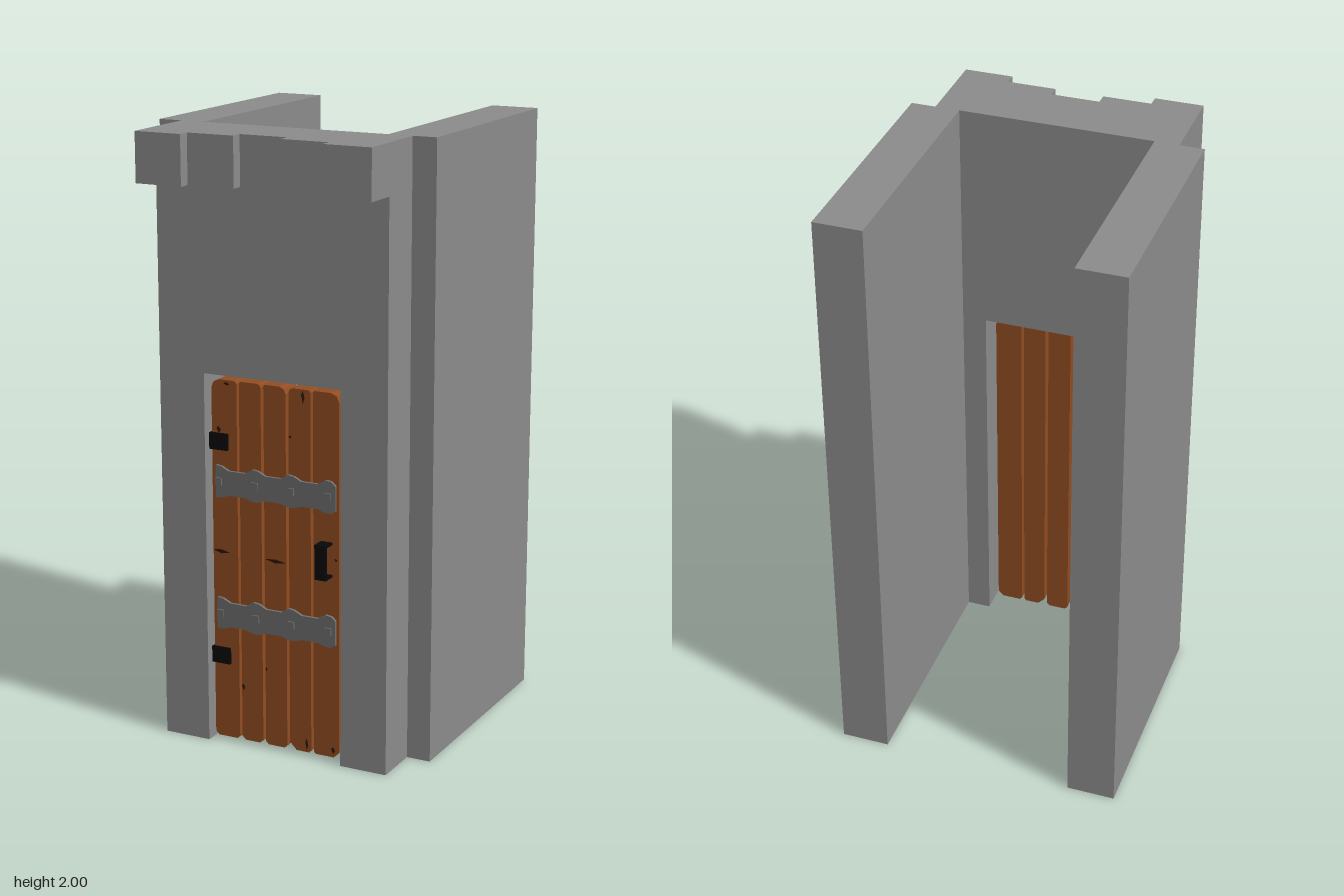
import * as THREE from 'three';

const mat = (color, extra = {}) => new THREE.MeshStandardMaterial({ color, ...extra });

export function createModel() {
  const root = new THREE.Group();
  const stone = mat(0x8c8c8c);
  const wood = mat(0x924d22);
  const iron = mat(0x6f6f6f);
  const black = mat(0x080808);
  const crackMat = mat(0x2e1508, { side: THREE.DoubleSide });

  const add = (parent, name, geometry, material) => {
    const mesh = new THREE.Mesh(geometry, material);
    mesh.name = name;
    parent.add(mesh);
    return mesh;
  };
  const box = (parent, name, material, x0, x1, y0, y1, z0, z1) => {
    const mesh = add(parent, name, new THREE.BoxGeometry(x1 - x0, y1 - y0, z1 - z0), material);
    mesh.position.set((x0 + x1) / 2, (y0 + y1) / 2, (z0 + z1) / 2);
  };
  const shapeOf = (pts) => new THREE.Shape(pts.map(([x, y]) => new THREE.Vector2(x, y)));
  const slab = (parent, name, material, pts, z0, z1) => {
    const geometry = new THREE.ExtrudeGeometry(shapeOf(pts), { depth: z1 - z0, bevelEnabled: false });
    geometry.translate(0, 0, z0);
    return add(parent, name, geometry, material);
  };

  // Long side walls
  box(root, 'leftWall', stone, 0.32, 0.48, 0, 2, -0.54, 0.26);
  box(root, 'rightWall', stone, -0.48, -0.32, 0, 2, -0.54, 0.26);

  // Front wall with its doorway
  slab(root, 'frontWall', stone, [
    [-0.4, 0], [-0.24, 0], [-0.24, 1.235], [0.24, 1.235],
    [0.24, 0], [0.4, 0], [0.4, 1.84], [-0.4, 1.84],
  ], 0.26, 0.42);

  // Stepped parapet, drawn in plan and laid flat
  const parapet = slab(root, 'parapet', stone, [
    [-0.4, -0.26], [-0.4, -0.54], [-0.24, -0.54], [-0.24, -0.5], [-0.08, -0.5], [-0.08, -0.46],
    [0.08, -0.46], [0.08, -0.5], [0.24, -0.5], [0.24, -0.54], [0.4, -0.54], [0.4, -0.26],
  ], 1.84, 2);
  parapet.rotation.x = -Math.PI / 2;

  const door = new THREE.Group();
  door.name = 'door';
  root.add(door);
  const back = 0.32, front = 0.4;

  // Planks: [left x, right x, chamfers at bottom left, bottom right, top right, top left]
  const planks = [
    [-0.225, -0.135, 0.012, 0.01, 0.01, 0.028],
    [-0.126, -0.049, 0.012, 0.012, 0.012, 0.008],
    [-0.039, 0.039, 0.01, 0.01, 0.022, 0.006],
    [0.049, 0.126, 0.024, 0.008, 0.008, 0.016],
    [0.135, 0.225, 0.008, 0.018, 0.028, 0.008],
  ];
  const y0 = 0.015, y1 = 1.216;
  for (const [a, b, bl, br, tr, tl] of planks) {
    slab(door, 'plank', wood, [
      [a + bl, y0], [b - br, y0], [b, y0 + br], [b, y1 - tr], [b - tr * 0.3, y1 - tr * 0.3], [b - tr, y1],
      [a + tl, y1], [a + tl * 0.3, y1 - tl * 0.3], [a, y1 - tl], [a, y0 + bl],
    ], back, front);
  }

  // Cracks and knots in the wood: [x, y, half width, half height]
  for (const [x, y, w, h] of [
    [-0.195, 0.65, 0.03, 0.008], [0, 0.645, 0.036, 0.008], [0.1, 1.195, 0.006, 0.025],
    [-0.2, 1.055, 0.008, 0.014], [-0.12, 0.2, 0.006, 0.014], [0.055, 1.06, 0.006, 0.006],
    [-0.035, 0.275, 0.004, 0.008], [0.11, 0.045, 0.005, 0.025], [0.205, 0.04, 0.007, 0.014],
    [-0.17, 1.205, 0.012, 0.006], [0.215, 0.68, 0.006, 0.006],
  ]) {
    const crack = add(door, 'woodCrack', new THREE.ShapeGeometry(
      shapeOf([[-w, h * 0.2], [0, -h], [w, -h * 0.2], [0, h * 0.7]])), crackMat);
    crack.position.set(x, y, front + 0.001);
  }

  // Scalloped iron straps, swelling around each bolt
  const bolts = [-0.197, -0.066, 0.061, 0.192];
  for (const y of [0.885, 0.443]) {
    const top = [], bottom = [];
    bolts.forEach((x, i) => {
      const left = i === 0 ? -0.208 : x - 0.036;
      const right = i === 3 ? 0.217 : x + 0.036;
      top.push([left, y + 0.037], [x - 0.01, y + 0.053], [x + 0.01, y + 0.05], [right, y + 0.037]);
      bottom.push([left, y - 0.044], [x - 0.01, y - 0.053], [x + 0.01, y - 0.053], [right, y - 0.044]);
    });
    slab(door, 'strap', iron, [...bottom, ...top.reverse()], front, 0.41);
    for (const x of bolts) box(door, 'bolt', iron, x - 0.011, x + 0.011, y - 0.012, y + 0.012, 0.41, 0.415);
  }

  // Hinge plates
  for (const y of [1.015, 0.297]) {
    box(door, 'hinge', black, -0.23, -0.165, y - 0.027, y + 0.027, 0.38, 0.41);
  }

  // Pull handle: a C-shaped bar seen from the side
  const handle = slab(door, 'handle', black, [
    [front, 0.622], [0.446, 0.622], [0.446, 0.736], [front, 0.736],
    [front, 0.728], [0.438, 0.728], [0.438, 0.63], [front, 0.63],
  ], -0.02, 0.02);
  handle.rotation.y = -Math.PI / 2;
  handle.position.x = 0.182;

  return root;
}
